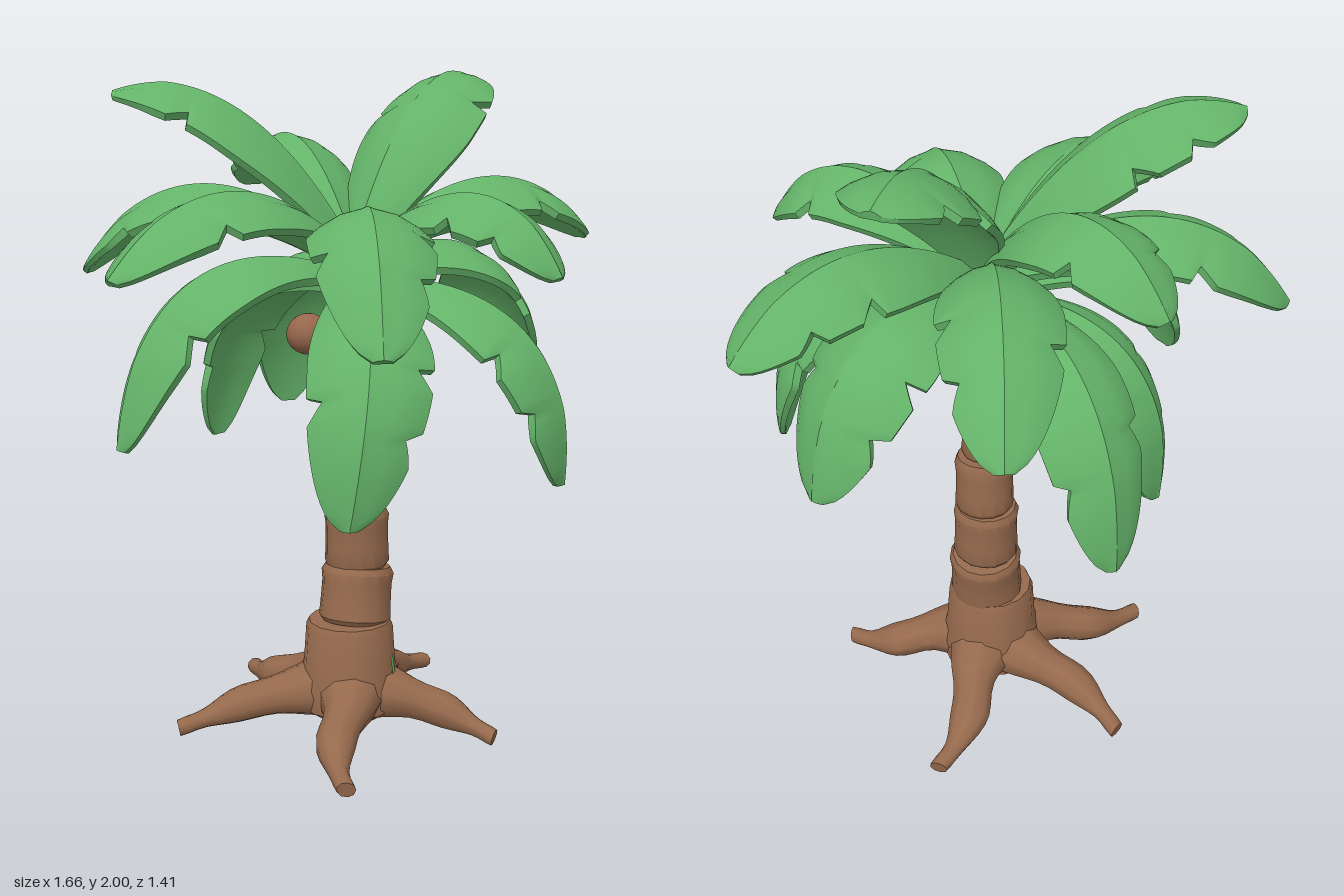
import * as THREE from 'three';
import { toCreasedNormals } from 'three/addons/utils/BufferGeometryUtils.js';

const V = (x, y, z) => new THREE.Vector3(x, y, z);
const UP = V(0, 1, 0);

// Skin closed rings (counterclockwise about the direction of travel) and cap both ends.
function loft(rings, crease) {
  const n = rings[0].length, pos = [], idx = [];
  rings.forEach(r => r.forEach(p => pos.push(p.x, p.y, p.z)));
  for (let i = 0; i < rings.length - 1; i++) {
    for (let j = 0; j < n; j++) {
      const k = (j + 1) % n, a = i * n + j, b = i * n + k;
      idx.push(a, b, b + n, a, b + n, a + n);
    }
  }
  [0, rings.length - 1].forEach((row, end) => {
    const c = rings[row].reduce((s, p) => s.add(p), V(0, 0, 0)).divideScalar(n);
    const ci = pos.length / 3;
    pos.push(c.x, c.y, c.z);
    for (let j = 0; j < n; j++) {
      const a = row * n + j, b = row * n + (j + 1) % n;
      if (end) idx.push(ci, a, b); else idx.push(ci, b, a);
    }
  });
  const g = new THREE.BufferGeometry();
  g.setAttribute('position', new THREE.Float32BufferAttribute(pos, 3));
  g.setIndex(idx);
  return toCreasedNormals(g, crease);
}

// Sweep a cross-section section(t) -> [[side, up], ...] along a curve.
function sweep(curve, steps, section, crease) {
  const h = curve.getPoint(1).sub(curve.getPoint(0)).setY(0);
  const S = UP.clone().cross(h).normalize();
  const rings = [];
  for (let i = 0; i <= steps; i++) {
    const t = i / steps, p = curve.getPoint(t);
    const N = curve.getTangent(t).cross(S).normalize();
    rings.push(section(t).map(([s, u]) => p.clone().addScaledVector(S, s).addScaledVector(N, u)));
  }
  return loft(rings, crease);
}

// Leaf outline: broad envelope cut by sharp notches that grow back towards the tip.
function leafWidth(t, notches) {
  const env = t < 0.5
    ? 0.15 + 0.85 * Math.sin(t * Math.PI) ** 0.95
    : Math.sqrt(Math.max(0.02, 1 - ((t - 0.5) / 0.505) ** 2.4));
  let cut = 0;
  for (const c of notches) {
    const d = t - c;
    if (d >= -0.001 && d < 0.08) cut = Math.max(cut, 0.26 * (1 - d / 0.08));
  }
  return env * (1 - cut);
}

// One frond: an arched, thick leaf with a raised midrib.
function frondGeometry(base, mid, tip, hw, flip) {
  const ctrl = mid.clone().multiplyScalar(2).addScaledVector(base, -0.5).addScaledVector(tip, -0.5);
  const curve = new THREE.QuadraticBezierCurve3(base, ctrl, tip);
  const cuts = [[0.54, 0.78], [0.66]];
  if (flip) cuts.reverse();
  const top = [1, 0.8, 0.45, 0.1, 0, -0.1, -0.45, -0.8, -1];
  const under = [-0.94, -0.5, 0, 0.5, 0.94];
  return sweep(curve, 50, t => {
    const wide = [hw * leafWidth(t, cuts[0]), hw * leafWidth(t, cuts[1])];
    const thin = 0.5 + 0.5 * Math.min(1, (1 - t) * 5);
    const at = (s, lift) => {
      const x = s * wide[s > 0 ? 0 : 1];
      return [x, -0.35 * x * x / hw + lift * thin];
    };
    return [
      ...top.map(s => at(s, 0.022 * (1 - s * s) + (s === 0 ? 0.006 : 0))),
      ...under.map(s => at(s, -0.026)),
    ];
  }, 0.75);
}

export function createModel() {
  const leafGreen = new THREE.MeshStandardMaterial({ color: 0x64b369 });
  leafGreen.name = 'leafGreen';
  const barkBrown = new THREE.MeshStandardMaterial({ color: 0x966a4d });
  barkBrown.name = 'barkBrown';
  const nutBrown = new THREE.MeshStandardMaterial({ color: 0x96674c });
  nutBrown.name = 'nutBrown';

  const model = new THREE.Group();
  model.name = 'palmTree';
  const add = (parent, name, geo, mat) => {
    const m = new THREE.Mesh(geo, mat);
    m.name = name;
    parent.add(m);
    return m;
  };
  const group = name => {
    const g = new THREE.Group();
    g.name = name;
    model.add(g);
    return g;
  };
  const lathe = pts => toCreasedNormals(
    new THREE.LatheGeometry(pts.map(p => new THREE.Vector2(...p)), 14), 0.7);

  // Trunk: flared stump with a sliver of moss, and a leaning stack of ringed segments
  const trunk = group('trunk');
  add(trunk, 'stump', lathe([[0, 0.02], [0.09, 0.025], [0.155, 0.07], [0.16, 0.14], [0.142, 0.21],
    [0.134, 0.325], [0.126, 0.342], [0, 0.342]]), barkBrown).position.set(0.012, 0, -0.04);
  add(trunk, 'moss', new THREE.CylinderGeometry(0.143, 0.153, 0.07, 3, 1, true, 0.49, 0.12), leafGreen)
    .position.set(0.012, 0.208, -0.04);
  const joints = [ // x, y, z, radius
    [0.03, 0.33, -0.04, 0.112], [0.05, 0.505, -0.055, 0.1], [0.055, 0.69, -0.055, 0.09],
    [0.04, 0.87, -0.042, 0.075], [0.022, 1.005, -0.032, 0.067], [0.004, 1.15, -0.026, 0.06],
    [-0.012, 1.28, -0.02, 0.054], [-0.015, 1.42, -0.01, 0.05],
  ];
  for (let i = 0; i < joints.length - 1; i++) {
    const [x, y, z, r] = joints[i], next = joints[i + 1];
    const a = V(x, y, z), d = V(next[0], next[1], next[2]).sub(a), L = d.length();
    const seg = add(trunk, 'trunkSegment', lathe([[0, 0], [r * 0.88, 0], [r * 0.99, 0.015], [r * 0.97, L * 0.4],
      [r * 0.96, L * 0.7], [r, L - 0.02], [r * 0.9, L], [0, L]]), barkBrown);
    seg.position.copy(a);
    seg.quaternion.setFromUnitVectors(UP, d.normalize());
    seg.rotateZ(i % 2 ? 0.04 : -0.02);
  }

  // Roots: five tapering, slightly bent arms
  const roots = group('roots');
  const rootTips = [[0.29, 0.34, 0.03], [-0.29, 0.385, -0.03], [0.47, -0.29, 0.03], [-0.48, -0.25, -0.03], [-0.04, -0.56, 0.03]];
  for (const [x, z, bend] of rootTips) {
    const c = V(0.018, 0, -0.04), d = V(x, 0, z).sub(c);
    const side = UP.clone().cross(d).normalize();
    const pt = (f, y, b) => c.clone().addScaledVector(d, f).addScaledVector(side, b).setY(y);
    const curve = new THREE.CatmullRomCurve3([pt(0.08, 0.13, 0), pt(0.35, 0.11, 0), pt(0.6, 0.075, bend),
      pt(0.82, 0.04, bend * 0.7), pt(1, 0.022, -bend * 0.3)]);
    add(roots, 'root', sweep(curve, 14, t => {
      const r = 0.1 - 0.08 * t ** 0.75 + 0.005 * Math.sin(t * 14);
      return Array.from({ length: 9 }, (_, k) => {
        const a = k / 9 * Math.PI * 2;
        return [r * 1.12 * Math.cos(a), r * Math.sin(a)];
      });
    }, 0.8), barkBrown);
  }

  // Coconuts clustered under the crown
  const nuts = group('coconuts');
  for (const [x, y, z] of [[-0.11, 1.19, 0.11], [-0.025, 1.275, 0.18], [0.09, 1.22, 0.11],
    [0.06, 1.235, -0.15], [-0.1, 1.235, -0.09]]) {
    const nut = add(nuts, 'coconut', new THREE.SphereGeometry(0.066, 14, 10), nutBrown);
    nut.position.set(x, y, z);
    nut.scale.set(1, 0.93, 1);
  }

  // Crown: a leafy heart and fronds given by midpoint, tip, half width and base height
  const crown = group('crown');
  const heart = add(crown, 'crownHeart', new THREE.SphereGeometry(0.062, 14, 10), leafGreen);
  heart.position.set(0, 1.42, 0);
  const fronds = [
    [[-0.19, 1.61, 0.37], [-0.37, 1.3, 0.69], 0.17, 1.43],   // front
    [[0.1, 1.645, 0.4], [0.19, 1.46, 0.685], 0.16, 1.43],
    [[-0.23, 1.27, 0.43], [-0.35, 0.82, 0.51], 0.17, 1.38],  // front, hanging
    [[0.26, 1.28, 0.41], [0.37, 0.84, 0.51], 0.17, 1.38],
    [[0.44, 1.655, 0.04], [0.82, 1.49, 0.07], 0.175, 1.43],  // sides
    [[-0.43, 1.65, 0.07], [-0.82, 1.46, 0.11], 0.175, 1.43],
    [[0.45, 1.435, -0.02], [0.67, 1.04, -0.03], 0.195, 1.39], // sides, hanging
    [[-0.46, 1.4, -0.09], [-0.71, 0.96, -0.1], 0.175, 1.39],
    [[0.27, 1.865, -0.085], [0.6, 1.965, -0.24], 0.19, 1.44], // tall
    [[-0.25, 1.85, -0.21], [-0.54, 1.925, -0.44], 0.18, 1.44],
    [[0.03, 1.77, -0.36], [0.06, 1.64, -0.7], 0.16, 1.45],   // back
    [[0.3, 1.66, -0.36], [0.57, 1.42, -0.65], 0.165, 1.43],
    [[-0.3, 1.64, -0.36], [-0.56, 1.4, -0.63], 0.165, 1.43],
    [[0.12, 1.37, -0.48], [0.18, 0.9, -0.68], 0.155, 1.39],  // back, hanging
    [[-0.13, 1.31, -0.4], [-0.18, 0.86, -0.52], 0.15, 1.38],
  ];
  fronds.forEach(([mid, tip, hw, y], i) => {
    add(crown, 'frond', frondGeometry(V(0, y, 0), V(...mid), V(...tip), hw, i % 2 === 1), leafGreen);
  });
  return model;
}
